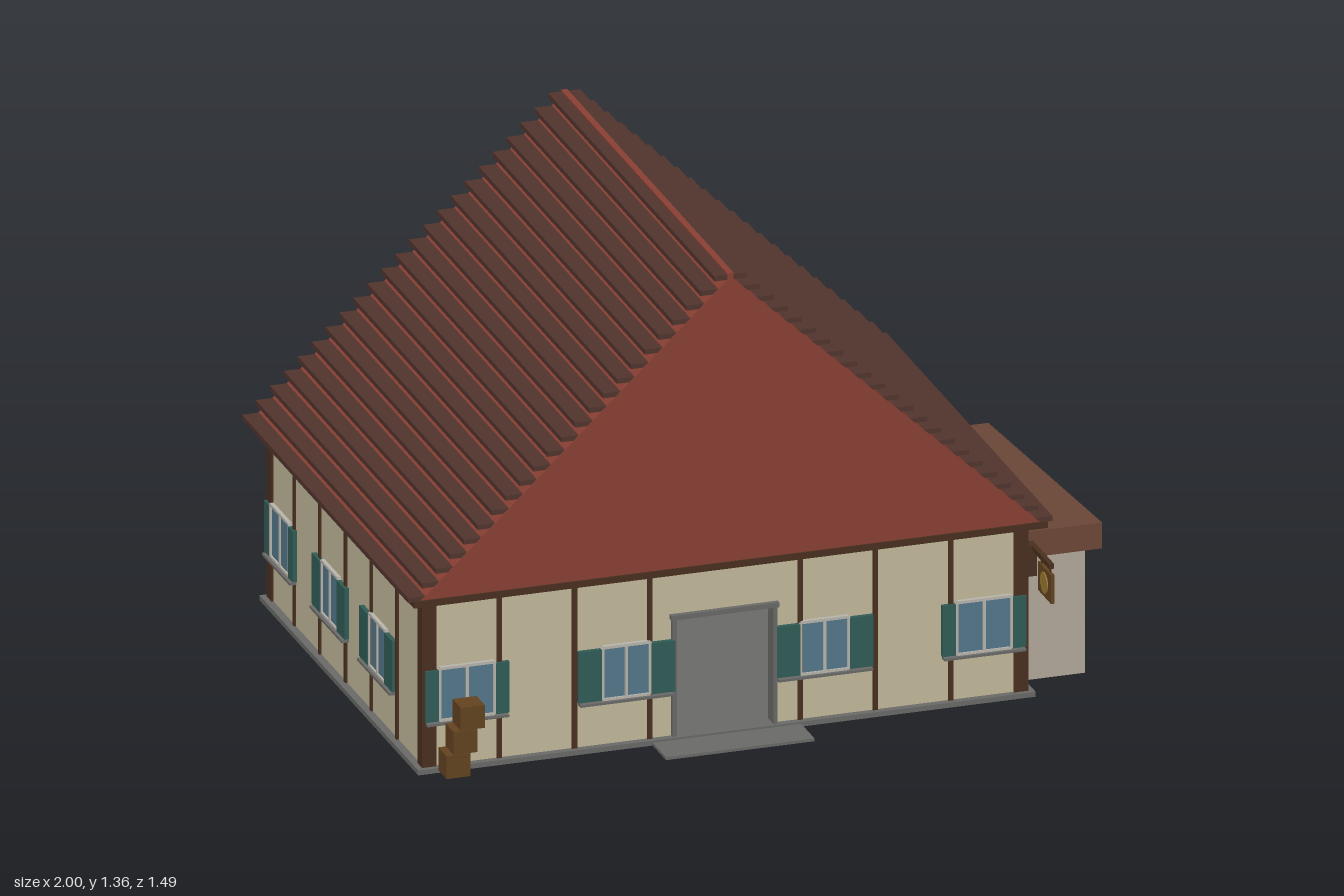
import * as THREE from 'three';

const mat = (color) => new THREE.MeshStandardMaterial({ color, roughness: 0.9 });
const M = {
  wall: mat(0xc4ba9c), timber: mat(0x4a3020), roof: mat(0x8a4034), tile: mat(0x52352e),
  stone: mat(0x6a6a68), shutter: mat(0x315c56), glass: mat(0x55788c), trim: mat(0xb8b6ac),
  shed: mat(0xb4aa9c), shedRoof: mat(0x6e4838), wood: mat(0x644420), gold: mat(0x9a7a30),
  red: mat(0x963030),
};

// House extents
const X0 = -0.94, X1 = 0.76, Z0 = -0.685, Z1 = 0.595, CX = -0.09, CZ = -0.045;

// Box given by its minimum and maximum on each axis
function box(parent, name, m, x0, x1, y0, y1, z0, z1) {
  const mesh = new THREE.Mesh(new THREE.BoxGeometry(x1 - x0, y1 - y0, z1 - z0), m);
  mesh.position.set((x0 + x1) / 2, (y0 + y1) / 2, (z0 + z1) / 2);
  mesh.name = name;
  parent.add(mesh);
  return mesh;
}

// Extruded outline, starting at z0
function prism(parent, name, m, points, z0, depth) {
  const shape = new THREE.Shape(points.map(([x, y]) => new THREE.Vector2(x, y)));
  const mesh = new THREE.Mesh(new THREE.ExtrudeGeometry(shape, { depth, bevelEnabled: false }), m);
  mesh.position.z = z0;
  mesh.name = name;
  parent.add(mesh);
  return mesh;
}

// Window facing +z, centred on its own x; corner windows have wide panes and narrow shutters
function makeWindow(paneWidth, shutterWidth) {
  const g = new THREE.Group();
  g.name = 'window';
  const h = paneWidth / 2, y0 = 0.155, y1 = 0.305;
  box(g, 'glass', M.glass, -h, h, y0, y1, -0.005, 0.006);
  for (const x of [-h, 0, h]) box(g, 'mullion', M.trim, x - 0.004, x + 0.004, y0, y1, 0, 0.011);
  for (const y of [y0, y1]) box(g, 'windowRail', M.trim, -h, h, y - 0.004, y + 0.004, 0, 0.011);
  const reach = h + shutterWidth;
  box(g, 'sill', M.stone, -reach, reach, y0 - 0.01, y0 - 0.003, 0, 0.02);
  for (const s of [-1, 1]) {
    const x = s * (h + 0.003 + shutterWidth / 2);
    box(g, 'shutter', M.shutter, x - shutterWidth / 2, x + shutterWidth / 2, y0, y1 - 0.003, 0, 0.013);
  }
  return g;
}

function makeWalls(house) {
  // Foundation and entrance step
  box(house, 'foundation', M.stone, X0 - 0.022, X1 + 0.022, 0.01, 0.024, Z0 - 0.02, Z1 + 0.02);
  box(house, 'entranceStep', M.stone, -0.3, 0.12, 0.01, 0.018, Z1, 0.725);

  // Hollow walls; the front one is notched for the doorway
  const T = 0.03, B = 0.02, H = 0.505;
  prism(house, 'frontWall', M.wall, [[X0, B], [-0.235, B], [-0.235, 0.365], [0.05, 0.365],
    [0.05, B], [X1, B], [X1, H], [X0, H]], Z1 - T, T);
  box(house, 'backWall', M.wall, X0, X1, B, H, Z0, Z0 + T);
  box(house, 'sideWall', M.wall, X0, X0 + T, B, H, Z0 + T, Z1 - T);
  box(house, 'sideWall', M.wall, X1 - T, X1, B, H, Z0 + T, Z1 - T);

  // Timber posts
  const p = 0.007, out = 0.006;
  for (let i = 1; i < 8; i++) {
    const x = X0 + (i * (X1 - X0)) / 8;
    if (i !== 4) box(house, 'frontPost', M.timber, x - p, x + p, B, H, Z1 - 0.01, Z1 + out);
    box(house, 'backPost', M.timber, x - p, x + p, B, H, Z0 - out, Z0 + 0.01);
  }
  for (let i = 1; i < 6; i++) {
    const z = Z0 + (i * (Z1 - Z0)) / 6;
    box(house, 'sidePost', M.timber, X0 - out, X0 + 0.01, B, H, z - p, z + p);
    box(house, 'sidePost', M.timber, X1 - 0.01, X1 + out, B, H, z - p, z + p);
  }
  for (const x of [X0 + 0.014, X1 - 0.014])
    for (const z of [Z0 + 0.014, Z1 - 0.014])
      box(house, 'cornerPost', M.timber, x - 0.02, x + 0.02, B, H, z - 0.02, z + 0.02);

  // Top beams
  for (const z of [Z0, Z1]) box(house, 'topBeam', M.timber, X0, X1, 0.49, 0.508, z - 0.008, z + 0.008);
  for (const x of [X0, X1]) box(house, 'topBeam', M.timber, x - 0.008, x + 0.008, 0.49, 0.508, Z0, Z1);

  // Door frame
  for (const x of [-0.235, 0.05])
    box(house, 'doorJamb', M.stone, x - 0.006, x + 0.006, 0, 0.372, Z1 - 0.035, Z1 + 0.012);
  box(house, 'doorLintel', M.stone, -0.245, 0.06, 0.36, 0.374, Z1 - 0.035, Z1 + 0.014);
}

function makeWindows(house) {
  const place = (x, z, turn, corner) => {
    const w = corner ? makeWindow(0.155, 0.038) : makeWindow(0.135, 0.066);
    w.position.set(x, 0, z);
    w.rotation.y = turn;
    house.add(w);
  };
  for (const x of [-0.82, -0.37, 0.19, 0.64]) place(x, Z1, 0, Math.abs(x - CX) > 0.5);
  for (const x of [-0.82, -0.335, 0.15, 0.64]) place(x, Z0, Math.PI, Math.abs(x - CX) > 0.5);
  for (const z of [-0.575, -0.16, 0.235]) place(X0, z, -Math.PI / 2, z < -0.5);
  place(X1, -0.575, Math.PI / 2, true);
}

function makeInterior(house) {
  // Counter, wall shelves and goods seen through the doorway
  box(house, 'counter', M.wood, -0.4, 0.22, 0.024, 0.15, -0.4, -0.28);
  for (const y of [0.2, 0.28]) box(house, 'shelf', M.wood, -0.4, 0.22, y - 0.006, y + 0.006, Z0 + 0.03, Z0 + 0.1);
  box(house, 'goods', M.gold, -0.107, -0.073, 0.286, 0.326, -0.64, -0.6);
  box(house, 'goods', M.red, -0.107, -0.073, 0.206, 0.244, -0.64, -0.6);
  box(house, 'goods', M.gold, -0.107, -0.073, 0.15, 0.172, -0.36, -0.32);
}

function makeRoof() {
  const roof = new THREE.Group();
  roof.name = 'roof';
  const z0 = -0.74, z1 = 0.645, halfRun = 0.88, base = 0.52, top = 1.347;
  box(roof, 'eaveBoard', M.timber, CX - 0.895, CX + 0.895, 0.507, 0.526, z0 - 0.004, z1 + 0.004);
  prism(roof, 'gableRoof', M.roof, [[CX - halfRun, base], [CX + halfRun, base], [CX, top]], z0, z1 - z0);

  // Overlapping tile courses on both slopes
  const courses = 23;
  for (let i = 0; i < courses; i++) {
    const t = i / (courses - 1);
    const y = 0.53 + t * 0.815;
    const d = halfRun * (1 - t) + 0.002 + 0.015 * t;
    for (const s of [-1, 1]) {
      const x = CX + s * d;
      box(roof, 'tileCourse', M.tile, x - 0.028, x + 0.028, y - 0.007, y + 0.007, z0 + 0.002, z1 - 0.002);
    }
  }
  box(roof, 'ridgeCap', M.roof, CX - 0.009, CX + 0.009, 1.34, 1.357, z0 + 0.001, z1 - 0.001);
  return roof;
}

function makeShed() {
  const shed = new THREE.Group();
  shed.name = 'shed';
  box(shed, 'shedBody', M.shed, X1, 0.96, 0.012, 0.376, -0.39, 0.5);
  // Wedge roof, drawn in profile and turned to run along x
  const wedge = prism(shed, 'shedRoof', M.shedRoof, [[-0.525, 0.375], [0.42, 0.375], [-0.525, 0.45]], 0, 0.23);
  wedge.rotation.y = Math.PI / 2;
  wedge.position.set(0.77, 0, 0);
  return shed;
}

function makeSign() {
  const sign = new THREE.Group();
  sign.name = 'hangingSign';
  box(sign, 'signArm', M.timber, 0.779, 0.793, 0.424, 0.438, 0.56, 0.735);
  box(sign, 'signBracket', M.timber, 0.75, 0.793, 0.35, 0.438, 0.575, 0.595);
  for (const z of [0.655, 0.725]) box(sign, 'signHanger', M.timber, 0.784, 0.788, 0.405, 0.428, z - 0.002, z + 0.002);
  box(sign, 'signBoard', M.wood, 0.781, 0.791, 0.327, 0.41, 0.637, 0.745);
  const disc = new THREE.Mesh(new THREE.CylinderGeometry(0.03, 0.03, 0.016, 16), M.gold);
  disc.name = 'signDisc';
  disc.rotation.z = Math.PI / 2;
  disc.position.set(0.786, 0.368, 0.691);
  sign.add(disc);
  return sign;
}

export function createModel() {
  const model = new THREE.Group();
  model.name = 'timberFramedHouse';
  const house = new THREE.Group();
  house.name = 'house';
  model.add(house);
  makeWalls(house);
  makeWindows(house);
  makeInterior(house);
  model.add(makeRoof(), makeShed(), makeSign());

  // Stack of crates, each shifted a little
  for (let i = 0; i < 3; i++) {
    const x = -0.905 + i * 0.02, y = 0.018 + i * 0.067;
    box(model, 'crate', M.wood, x, x + 0.068, y, y + 0.066, 0.615, 0.683);
  }
  return model;
}
